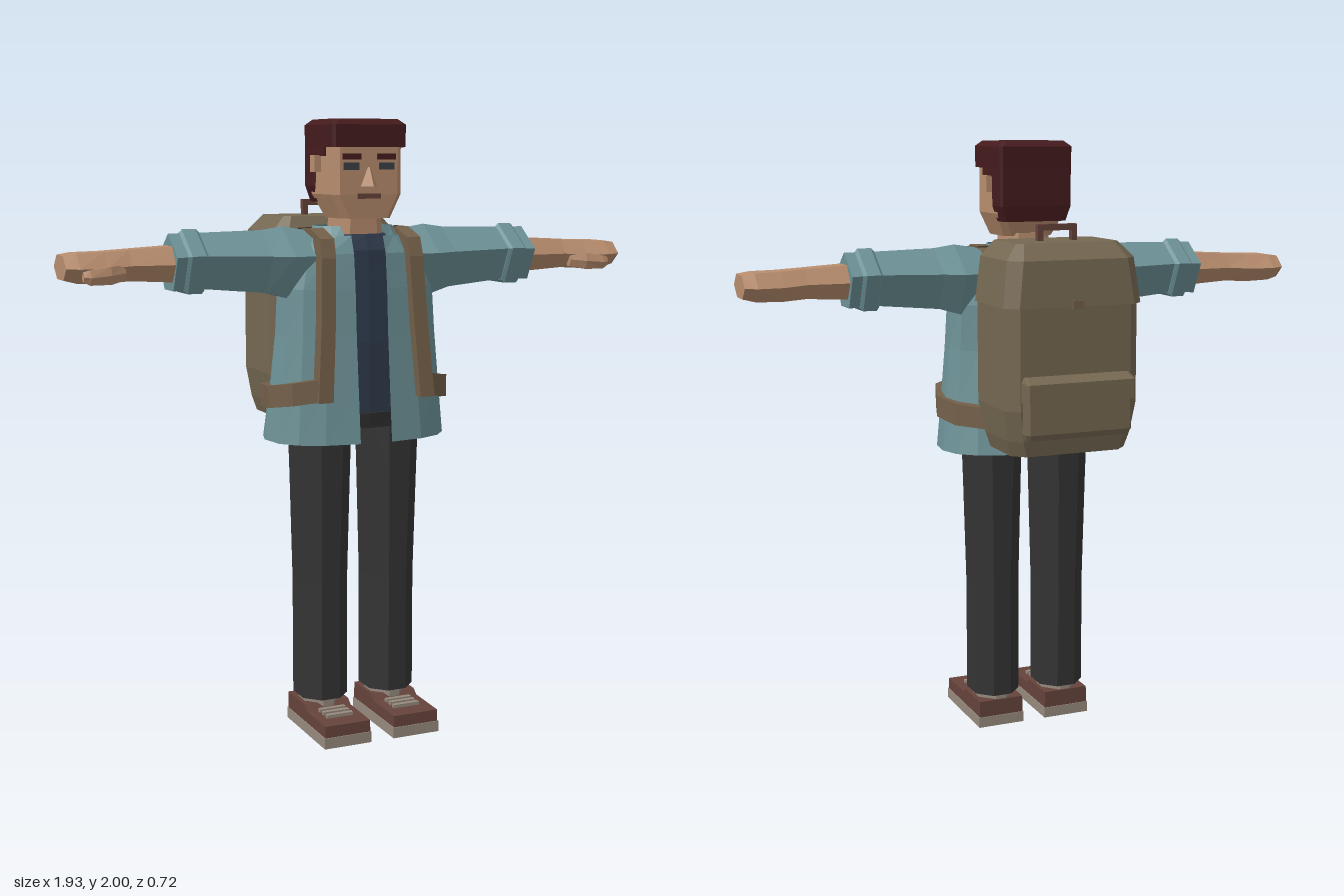
import * as THREE from 'three';

const mat = (name, color, double) => {
  const m = new THREE.MeshStandardMaterial({ color });
  m.name = name;
  if (double) m.side = THREE.DoubleSide;
  return m;
};

// Cross-section at height y: a rectangle with cut corners
const cut = (y, x0, x1, z0, z1, c) => [
  [x0 + c, y, z0], [x1 - c, y, z0], [x1, y, z0 + c], [x1, y, z1 - c],
  [x1 - c, y, z1], [x0 + c, y, z1], [x0, y, z1 - c], [x0, y, z0 + c]];

// Cross-section at height y: a full oval, optionally open by `gap` at the front
function oval(y, rx, z0, z1, gap = 0, n = 16) {
  const cz = (z0 + z1) / 2, rz = (z1 - z0) / 2, pts = [];
  const pw = (v) => Math.sign(v) * Math.pow(Math.abs(v), 0.8);
  const t0 = gap ? Math.asin(Math.pow(gap / rx, 1.25)) : 0;
  for (let i = 0; i < (gap ? n + 1 : n); i++) {
    const t = t0 + (2 * Math.PI - 2 * t0) * i / n;
    pts.push([rx * pw(Math.sin(t)), y, cz + rz * pw(Math.cos(t))]);
  }
  return pts;
}

// Faceted skin through cross-sections; closed shapes get end caps facing outward
function loft(rings, closed = true, caps = closed) {
  const tris = [], n = rings[0].length;
  for (let r = 0; r < rings.length - 1; r++) {
    for (let i = 0; i < (closed ? n : n - 1); i++) {
      const j = (i + 1) % n, a = rings[r], b = rings[r + 1];
      tris.push([a[i], a[j], b[j]], [a[i], b[j], b[i]]);
    }
  }
  if (caps) {
    const a = rings[0], b = rings[rings.length - 1];
    for (let i = 1; i < n - 1; i++) tris.push([a[0], a[i + 1], a[i]], [b[0], b[i], b[i + 1]]);
    const o = new THREE.Vector3(...a[0]);
    const v = (p) => new THREE.Vector3(...p).sub(o);
    let vol = 0;
    for (const [p, q, s] of tris) vol += v(p).dot(v(q).cross(v(s)));
    if (vol < 0) tris.forEach((t) => t.reverse());
  }
  const g = new THREE.BufferGeometry();
  g.setAttribute('position', new THREE.Float32BufferAttribute(tris.flat(2), 3));
  g.computeVertexNormals();
  return g;
}

export function createModel() {
  const root = new THREE.Group();
  root.name = 'hiker';
  const M = {
    skin: mat('skin', 0xb88d6e), hair: mat('hair', 0x451b1d),
    jacket: mat('jacket', 0x6d9297, true), shirt: mat('shirt', 0x2f3b4d),
    pants: mat('trousers', 0x343434), bag: mat('canvas', 0x756852),
    strap: mat('strap', 0x74604a), shoe: mat('leather', 0x65433a),
    sole: mat('sole', 0x978a7e), eye: mat('eye', 0x3c4145),
  };
  const add = (name, geo, m) => {
    const mesh = new THREE.Mesh(geo, m);
    mesh.name = name;
    root.add(mesh);
    return mesh;
  };
  const box = (name, x0, x1, y0, y1, z0, z1, m) =>
    add(name, new THREE.BoxGeometry(Math.abs(x1 - x0), y1 - y0, z1 - z0), m)
      .position.set((x0 + x1) / 2, (y0 + y1) / 2, (z0 + z1) / 2);

  // Head and face
  add('head', loft([cut(1.69, -0.085, 0.085, 0.07, 0.235, 0.02),
    cut(1.765, -0.12, 0.12, 0.04, 0.24, 0.02), cut(1.93, -0.12, 0.12, 0.03, 0.24, 0.02)]), M.skin);
  add('neck', loft([cut(1.58, -0.08, 0.08, 0.05, 0.2, 0.03), cut(1.7, -0.075, 0.075, 0.06, 0.2, 0.03)]), M.skin);
  add('nose', loft([[[-0.032, 1.79, 0.235], [0.032, 1.79, 0.235], [0, 1.79, 0.277]],
    [[-0.008, 1.85, 0.235], [0.008, 1.85, 0.235], [0, 1.85, 0.245]]]), M.skin);
  box('mouth', -0.04, 0.04, 1.752, 1.768, 0.236, 0.243, M.shoe);

  // Hair: crown, side pieces and long back
  add('hairCrown', loft([cut(1.912, -0.126, 0.126, 0.012, 0.249, 0.008),
    cut(1.982, -0.128, 0.128, 0.01, 0.25, 0.01), cut(2.0, -0.108, 0.108, 0.03, 0.23, 0.01)]), M.hair);
  add('hairBack', loft([cut(1.74, -0.11, 0.11, 0.018, 0.09, 0.008),
    cut(1.79, -0.126, 0.126, 0.012, 0.095, 0.008), cut(1.92, -0.126, 0.126, 0.012, 0.1, 0.008)]), M.hair);

  // Torso: shirt, belt line and open jacket
  add('shirt', loft([oval(1.04, 0.23, 0, 0.25), oval(1.3, 0.24, 0.015, 0.25), oval(1.5, 0.23, 0.02, 0.24),
    oval(1.59, 0.18, 0.03, 0.235), oval(1.64, 0.095, 0.04, 0.215)]), M.shirt);
  add('hips', loft([oval(1.02, 0.21, 0.0, 0.25), oval(1.07, 0.22, -0.005, 0.258)]), M.pants);
  add('jacketBody', loft([oval(0.98, 0.305, -0.065, 0.305, 0.055), oval(1.15, 0.288, -0.03, 0.288, 0.055),
    oval(1.32, 0.273, -0.005, 0.272, 0.055), oval(1.47, 0.265, 0.0, 0.262, 0.055),
    oval(1.58, 0.235, 0.01, 0.25, 0.055), oval(1.635, 0.15, 0.03, 0.23, 0.055)], false), M.jacket);
  add('collar', loft([oval(1.61, 0.155, 0.02, 0.235, 0.07), oval(1.665, 0.13, 0.025, 0.2, 0.075)], false), M.jacket);

  // Sleeve section: pentagon with a ridge on top
  const penta = (x, y0, y1, z0, z1) => {
    const m = (z0 + z1) / 2, h = y0 + (y1 - y0) * 0.6, k = (z1 - z0) * 0.24;
    return [[x, y1, m], [x, h, z1], [x, y0, m + k], [x, y0, m - k], [x, h, z0]];
  };
  // Arm section: flattened hexagon
  const hexa = (x, y0, y1, z0, z1) => {
    const m = (y0 + y1) / 2, k = (z1 - z0) * 0.25;
    return [[x, y1, z0 + k], [x, y1, z1 - k], [x, m, z1], [x, y0, z1 - k], [x, y0, z0 + k], [x, m, z0]];
  };
  const rect = (x, y, z, hx, hy, hz) => hy === 0
    ? [[x - hx, y, z - hz], [x + hx, y, z - hz], [x + hx, y, z + hz], [x - hx, y, z + hz]]
    : [[x - hx, y - hy, z - hz], [x + hx, y - hy, z + hz], [x + hx, y + hy, z + hz], [x - hx, y + hy, z - hz]];

  for (const s of [1, -1]) {
    const side = s > 0 ? 'left' : 'right';
    // Eyes, brows, ears and hair beside the temple
    box(side + 'Eye', s * 0.035, s * 0.088, 1.842, 1.864, 0.236, 0.243, M.eye);
    box(side + 'Brow', s * 0.028, s * 0.092, 1.874, 1.892, 0.236, 0.245, M.hair);
    box(side + 'Ear', s * 0.115, s * 0.142, 1.835, 1.888, 0.1, 0.137, M.skin);
    box(side + 'Temple', s * 0.115, s * 0.126, 1.885, 1.92, 0.095, 0.175, M.hair);

    // Sleeve and rolled cuff
    add(side + 'Sleeve', loft([penta(s * 0.12, 1.47, 1.645, 0.03, 0.22), penta(s * 0.25, 1.44, 1.665, 0, 0.245),
      penta(s * 0.32, 1.46, 1.655, 0.02, 0.225), penta(s * 0.54, 1.48, 1.65, 0.03, 0.21),
      penta(s * 0.625, 1.475, 1.65, 0.025, 0.215)]), M.jacket);
    add(side + 'Cuff', loft([penta(s * 0.525, 1.475, 1.652, 0.025, 0.215), penta(s * 0.535, 1.465, 1.662, 0.012, 0.225),
      penta(s * 0.58, 1.465, 1.662, 0.012, 0.225), penta(s * 0.59, 1.475, 1.652, 0.025, 0.215)]), M.jacket);

    // Forearm, flat hand and thumb
    add(side + 'Hand', loft([hexa(s * 0.58, 1.5, 1.615, 0.05, 0.2), hexa(s * 0.76, 1.51, 1.605, 0.058, 0.188),
      hexa(s * 0.84, 1.505, 1.6, 0.045, 0.2), hexa(s * 0.925, 1.508, 1.598, 0.035, 0.21),
      hexa(s * 0.965, 1.518, 1.592, 0.045, 0.2)]), M.skin);
    add(side + 'Thumb', loft([hexa(s * 0.78, 1.515, 1.56, 0.16, 0.192), hexa(s * 0.83, 1.505, 1.56, 0.18, 0.215),
      hexa(s * 0.895, 1.505, 1.55, 0.185, 0.222), hexa(s * 0.915, 1.515, 1.545, 0.185, 0.215)]), M.skin);

    // Trouser leg
    const leg = (y, w, z0, z1) => cut(y, s * 0.121 - w, s * 0.121 + w, z0, z1, 0.048);
    add(side + 'Leg', loft([leg(0.11, 0.08, 0.032, 0.215), leg(0.5, 0.079, 0.028, 0.215),
      leg(0.85, 0.084, 0.018, 0.225), leg(1.05, 0.088, 0.012, 0.23)]), M.pants);

    // Sock and shoe with laces
    add(side + 'Sock', loft([leg(0.08, 0.066, 0.045, 0.195), leg(0.12, 0.066, 0.045, 0.195)]), M.sole);
    box(side + 'Sole', s * 0.04, s * 0.205, 0, 0.036, 0.035, 0.36, M.sole);
    add(side + 'Shoe', loft([
      [[0, 0.036, 0.038], [0, 0.036, 0.357], [0, 0.074, 0.355], [0, 0.076, 0.2], [0, 0.092, 0.18], [0, 0.092, 0.04]],
    ].flatMap((p) => [0.043, 0.202].map((x) => p.map(([, y, z]) => [s * x, y, z])))), M.shoe);
    for (const z of [0.215, 0.245, 0.275])
      box(side + 'Lace', s * 0.075, s * 0.167, 0.07, 0.086, z, z + 0.016, M.sole);

    // Shoulder strap over the top and down the chest
    add(side + 'ShoulderStrap', loft([
      rect(s * 0.15, 1.57, -0.005, 0.024, 0, 0.02), rect(s * 0.15, 1.645, 0.04, 0.024, 0, 0.025),
      rect(s * 0.15, 1.66, 0.13, 0.024, 0, 0.04), rect(s * 0.15, 1.63, 0.225, 0.024, 0, 0.03),
      rect(s * 0.152, 1.57, 0.25, 0.024, 0, 0.025), rect(s * 0.16, 1.38, 0.268, 0.024, 0, 0.024),
      rect(s * 0.178, 1.12, 0.288, 0.025, 0, 0.024)]), M.strap);
    // Lower strap around the waist to the pack
    add(side + 'WaistStrap', loft([
      rect(s * 0.175, 1.16, 0.285, 0.012, 0.036, s * 0.022), rect(s * 0.255, 1.145, 0.245, 0.016, 0.036, s * 0.016),
      rect(s * 0.292, 1.125, 0.14, 0.016, 0.036, s * 0.004), rect(s * 0.272, 1.115, 0.03, 0.016, 0.036, s * -0.01),
      rect(s * 0.2, 1.11, -0.05, 0.015, 0.035, s * -0.015)]), M.strap);
  }

  // Backpack: body, lid, pocket with flap, buckle
  const bag = (y, w, z0, z1, c = 0.04) => cut(y, -w, w, z0, z1, c);
  add('packBody', loft([bag(1.02, 0.2, -0.285, -0.03), bag(1.07, 0.215, -0.295, -0.025),
    bag(1.17, 0.23, -0.308, -0.002), bag(1.52, 0.23, -0.308, 0)]), M.bag);
  add('packLid', loft([bag(1.495, 0.237, -0.32, 0.002), bag(1.64, 0.218, -0.306, 0.002),
    bag(1.69, 0.175, -0.255, -0.03, 0.02)]), M.bag);
  add('packPocket', loft([bag(1.08, 0.175, -0.335, -0.27, 0.01), bag(1.1, 0.182, -0.345, -0.27, 0.01),
    bag(1.25, 0.182, -0.345, -0.27, 0.01)]), M.bag);
  add('pocketFlap', loft([bag(1.2, 0.187, -0.358, -0.27, 0.008), bag(1.262, 0.187, -0.358, -0.27, 0.008),
    bag(1.28, 0.18, -0.32, -0.27, 0.008)]), M.bag);
  box('packBuckle', -0.018, 0.018, 1.49, 1.515, -0.328, -0.31, M.strap);

  // Carry handle
  box('handleBar', -0.068, 0.068, 1.722, 1.742, -0.16, -0.138, M.shoe);
  for (const s of [1, -1]) box('handlePost', s * 0.05, s * 0.068, 1.68, 1.73, -0.16, -0.138, M.shoe);

  return root;
}
